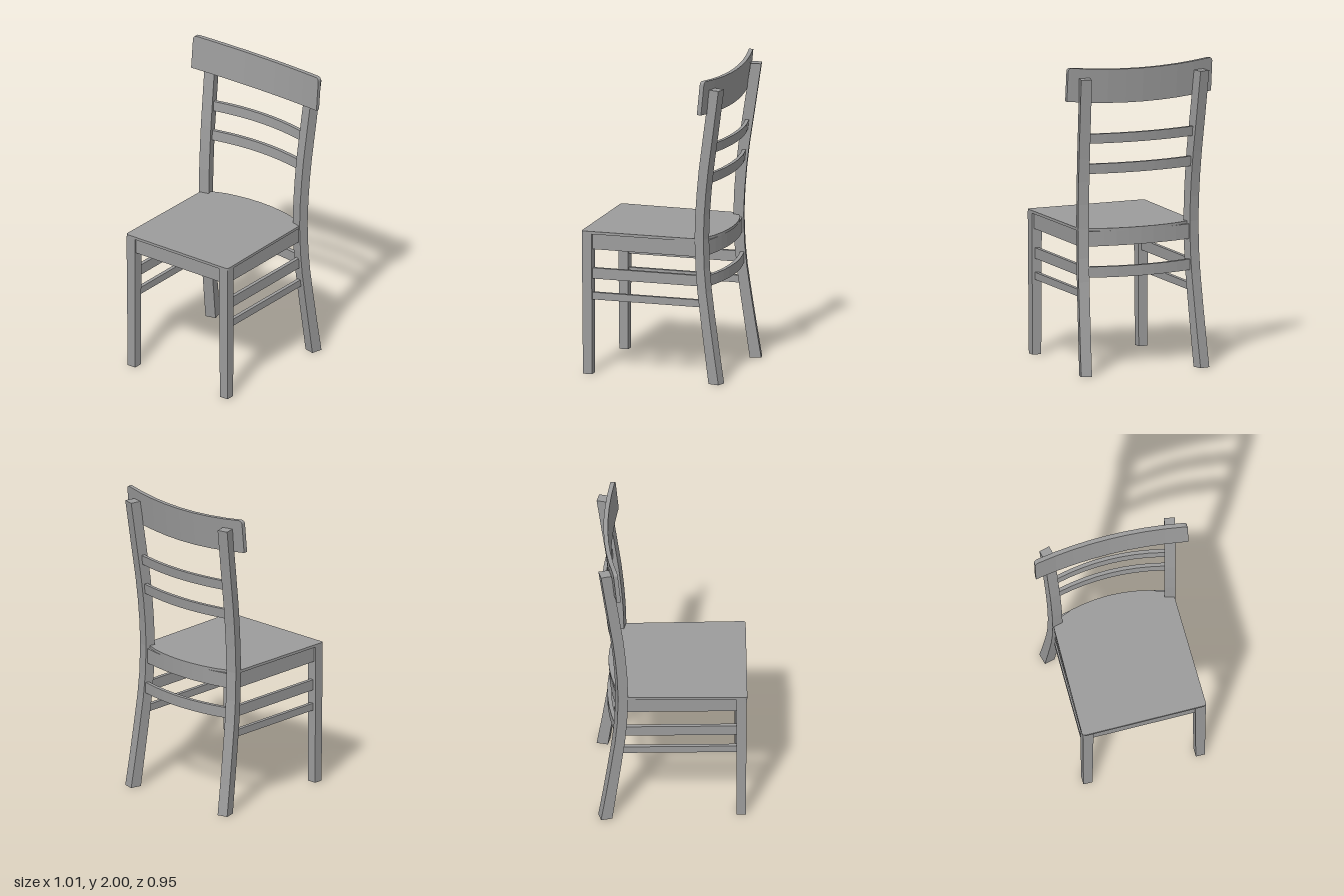
import * as THREE from 'three';

const material = new THREE.MeshStandardMaterial({ color: 0x9c9c9c, flatShading: true });

function add(group, name, geometry) {
  const mesh = new THREE.Mesh(geometry, material);
  mesh.name = name;
  group.add(mesh);
  return mesh;
}

function addBox(group, name, [x0, x1], [y0, y1], [z0, z1]) {
  const mesh = add(group, name, new THREE.BoxGeometry(x1 - x0, y1 - y0, z1 - z0));
  mesh.position.set((x0 + x1) / 2, (y0 + y1) / 2, (z0 + z1) / 2);
}

// Board bowed backwards in plan: zFront is its lower front edge at mid width,
// bow is how far the ends come forward, lean how far the top edge moves back,
// and drop how much the middle sags. Radius rounds the two upper corners.
function bowedBoard({ half, y, height, zFront, thick, bow, lean = 0, drop = 0, radius = 0 }) {
  const segments = 14;
  const geometry = new THREE.BoxGeometry(2, 1, 1, segments, 1, 1);
  const p = geometry.attributes.position;
  for (let i = 0; i < p.count; i++) {
    const column = Math.round((p.getX(i) + 1) * segments / 2);
    const fromEnd = Math.min(column, segments - column);
    const side = column < segments / 2 ? -1 : 1;
    // The three outer columns follow the corner arc, the rest are even.
    const angle = Math.min(fromEnd / 3, 1) * Math.PI / 2;
    const x = fromEnd <= 3
      ? half - 0.022 * (1 - Math.cos(angle))
      : (half - 0.022) * (segments / 2 - fromEnd) / (segments / 2 - 3);
    const yy = p.getY(i) > 0 ? height - radius * (1 - Math.sin(angle)) : 0;
    const curve = 1 - (x / half) ** 2;
    const back = p.getZ(i) < 0 ? thick : 0;
    p.setXYZ(i, side * x, y + yy - drop * curve,
      zFront + bow * (1 - curve) - back - lean * yy / height);
  }
  geometry.computeVertexNormals();
  return geometry;
}

// Curved rear post, cut from a board that is turned outwards towards the back.
function rearPost(side) {
  const front = [[0, 0.398], [0.2, 0.37], [0.4, 0.342], [0.6, 0.316], [0.75, 0.303], [0.94, 0.296],
    [1.1, 0.301], [1.25, 0.312], [1.4, 0.327], [1.65, 0.362], [1.93, 0.403]];
  const back = [[1.93, 0.47], [1.65, 0.431], [1.4, 0.395], [1.25, 0.378], [1.1, 0.366], [0.94, 0.36],
    [0.75, 0.366], [0.6, 0.38], [0.4, 0.408], [0.2, 0.438], [0, 0.47]];
  const points = [...front, ...back].map(([y, z]) => new THREE.Vector2((z - 0.297) * 1.03, y));
  const thick = 0.07;
  const geometry = new THREE.ExtrudeGeometry(new THREE.Shape(points), { depth: thick, bevelEnabled: false });
  geometry.translate(0, 0, -thick / 2);
  const along = new THREE.Vector3(side * 0.238, 0, -0.971);
  const up = new THREE.Vector3(0, 1, 0);
  geometry.applyMatrix4(new THREE.Matrix4().makeBasis(along, up, along.clone().cross(up)));
  geometry.translate(side * 0.3725, 0, -0.297);
  return geometry;
}

// Front leg, tapering slightly towards the floor.
function frontLeg(side) {
  const geometry = new THREE.BoxGeometry(0.07, 0.922, 0.066);
  const p = geometry.attributes.position;
  for (let i = 0; i < p.count; i++) {
    if (p.getY(i) < 0) {
      p.setX(i, p.getX(i) * 0.86);
      p.setZ(i, p.getZ(i) > 0 ? 0.027 : -0.033);
    }
  }
  geometry.computeVertexNormals();
  geometry.translate(side * 0.372, 0.461, 0.438);
  return geometry;
}

// Thin seat board, notched around the posts and bowed at the back.
function seatBoard() {
  const shape = new THREE.Shape();
  shape.moveTo(-0.39, -0.475);
  shape.lineTo(0.39, -0.475);
  shape.quadraticCurveTo(0.41, -0.475, 0.41, -0.455);
  shape.lineTo(0.4, 0.292);
  shape.lineTo(0.345, 0.306);
  shape.lineTo(0.352, 0.338);
  for (const x of [0.26, 0.18, 0.09, 0, -0.09, -0.18, -0.26]) {
    shape.lineTo(x, 0.408 - 0.5 * x * x);
  }
  shape.lineTo(-0.352, 0.338);
  shape.lineTo(-0.345, 0.306);
  shape.lineTo(-0.4, 0.292);
  shape.lineTo(-0.41, -0.455);
  shape.quadraticCurveTo(-0.41, -0.475, -0.39, -0.475);
  const geometry = new THREE.ExtrudeGeometry(shape, { depth: 0.018, bevelEnabled: false, curveSegments: 5 });
  geometry.rotateX(-Math.PI / 2);
  geometry.translate(0, 0.921, 0);
  return geometry;
}

export function createModel() {
  const chair = new THREE.Group();
  chair.name = 'chair';

  add(chair, 'seat', seatBoard());
  addBox(chair, 'frontApron', [-0.345, 0.345], [0.82, 0.922], [0.435, 0.462]);

  for (const side of [-1, 1]) {
    const label = side > 0 ? 'left' : 'right';
    add(chair, label + 'RearPost', rearPost(side));
    add(chair, label + 'FrontLeg', frontLeg(side));
    const span = (a, b) => (side > 0 ? [a, b] : [-b, -a]);
    addBox(chair, label + 'Apron', span(0.367, 0.393), [0.82, 0.922], [-0.32, 0.42]);
    addBox(chair, label + 'UpperStretcher', span(0.36, 0.385), [0.625, 0.695], [-0.33, 0.42]);
    addBox(chair, label + 'LowerStretcher', span(0.36, 0.385), [0.488, 0.535], [-0.34, 0.42]);
  }

  // Bowed boards between and across the posts
  const boards = {
    topRail: { half: 0.505, y: 1.778, height: 0.222, zFront: -0.39, thick: 0.028, bow: 0.055, lean: 0.022, drop: 0.025, radius: 0.022 },
    upperSlat: { half: 0.36, y: 1.5, height: 0.063, zFront: -0.416, thick: 0.024, bow: 0.045, lean: 0.007 },
    lowerSlat: { half: 0.36, y: 1.3, height: 0.065, zFront: -0.396, thick: 0.024, bow: 0.045, lean: 0.006 },
    rearApron: { half: 0.36, y: 0.825, height: 0.097, zFront: -0.376, thick: 0.026, bow: 0.045 },
    rearStretcher: { half: 0.36, y: 0.625, height: 0.07, zFront: -0.389, thick: 0.026, bow: 0.045, drop: 0.003 },
  };
  for (const [name, options] of Object.entries(boards)) add(chair, name, bowedBoard(options));

  return chair;
}
